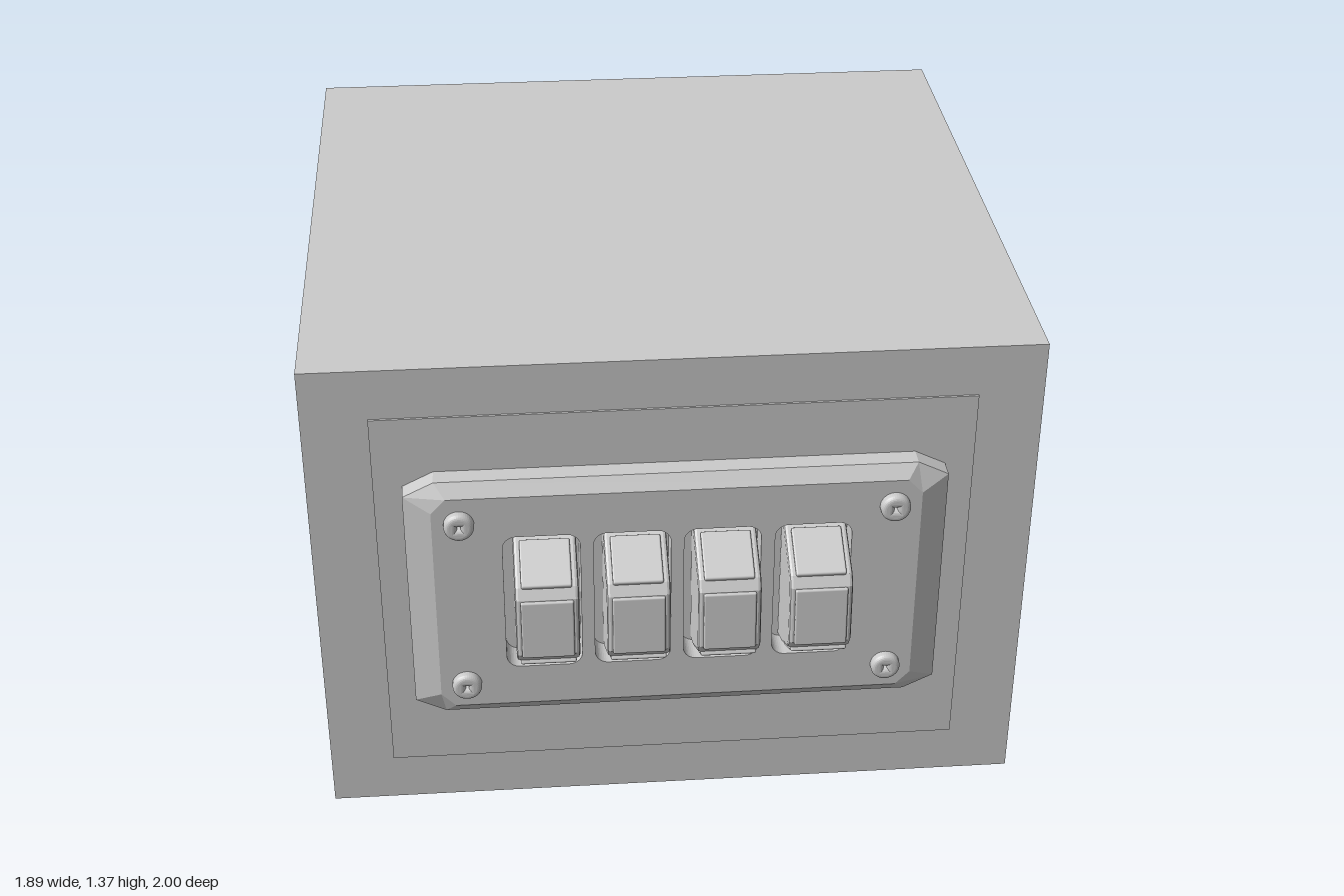
import * as THREE from 'three';
import { RoundedBoxGeometry } from 'three/addons/geometries/RoundedBoxGeometry.js';

const grey = new THREE.MeshStandardMaterial({ color: 0xcccccc });
const SWITCH_X = [-0.344, -0.11, 0.124, 0.36];
const MID_Y = 0.706;

function add(parent, name, geometry, x = 0, y = 0, z = 0) {
  const mesh = new THREE.Mesh(geometry, grey);
  mesh.name = name;
  mesh.position.set(x, y, z);
  parent.add(mesh);
  return mesh;
}

// Closed rounded rectangle, used for the switch openings
function roundedRect(cx, cy, w, h, r) {
  const p = new THREE.Path();
  const x = w / 2 - r, y = h / 2 - r;
  p.absarc(cx + x, cy + y, r, 0, Math.PI / 2);
  p.absarc(cx - x, cy + y, r, Math.PI / 2, Math.PI);
  p.absarc(cx - x, cy - y, r, Math.PI, Math.PI * 1.5);
  p.absarc(cx + x, cy - y, r, Math.PI * 1.5, Math.PI * 2);
  p.closePath();
  return p;
}

// Cut-corner plate with four openings; its front rim is drawn inward into a chamfer
function plateGeometry() {
  const corners = [[0.7, 0.325], [0.62, 0.365], [-0.62, 0.365], [-0.7, 0.325],
    [-0.7, -0.325], [-0.62, -0.365], [0.62, -0.365], [0.7, -0.325]];
  const shape = new THREE.Shape(corners.map(([x, y]) => new THREE.Vector2(x, y)));
  for (const x of SWITCH_X) shape.holes.push(roundedRect(x - 0.008, 0, 0.2, 0.415, 0.035));
  const g = new THREE.ExtrudeGeometry(shape, { depth: 0.086, steps: 2, bevelEnabled: false, curveSegments: 5 });
  const p = g.attributes.position;
  for (let i = 0; i < p.count; i++) {
    const x = p.getX(i), y = p.getY(i), z = p.getZ(i);
    if (z > 0.08 && Math.abs(x) > 0.6) {
      p.setX(i, x * (Math.abs(x) > 0.66 ? 0.9 : 0.955));
      p.setY(i, y - Math.sign(y) * 0.036);
    } else if (z > 0.02 && z < 0.08) p.setZ(i, 0.058);
  }
  g.computeVertexNormals();
  return g;
}

// Rocker side profile as [z, y], swept across the switch width
function rockerGeometry() {
  const profile = [[0.787, 0.505], [0.86, 0.533], [0.972, 0.6], [0.99, 0.628],
    [0.983, 0.795], [0.965, 0.823], [0.86, 0.876], [0.787, 0.91]];
  const shape = new THREE.Shape(profile.map(([z, y]) => new THREE.Vector2(z, y)));
  const g = new THREE.ExtrudeGeometry(shape, {
    depth: 0.146, bevelThickness: 0.009, bevelSize: 0.009, bevelOffset: -0.009, bevelSegments: 2 });
  g.translate(0, 0, -0.073);
  g.rotateY(-Math.PI / 2);
  return g;
}

// Raised pad whose outer face follows the line between two [z, y] points
function addPad(parent, name, a, b, width) {
  const dz = b[0] - a[0], dy = b[1] - a[1];
  const length = Math.hypot(dz, dy), t = 0.03;
  const pad = add(parent, name, new RoundedBoxGeometry(width, length, t, 2, 0.005));
  pad.rotation.x = Math.atan2(dz, dy);
  const nz = dy / length, ny = -dz / length;
  pad.position.set(0, (a[1] + b[1]) / 2 - ny * t / 2, (a[0] + b[0]) / 2 - nz * t / 2);
}

// Domed head with a square socket
function screwGeometry() {
  const shape = new THREE.Shape().absarc(0, 0, 0.026, 0, Math.PI * 2);
  const s = 0.017;
  shape.holes.push(new THREE.Path([[-s, -s], [-s, s], [s, s], [s, -s]].map(([x, y]) => new THREE.Vector2(x, y))));
  return new THREE.ExtrudeGeometry(shape, {
    depth: 0.012, bevelThickness: 0.013, bevelSize: 0.013, bevelSegments: 5, curveSegments: 20 });
}

export function createModel() {
  const model = new THREE.Group();
  model.name = 'switchBox';

  add(model, 'housing', new THREE.BoxGeometry(1.89, 1.37, 1.78), 0, 0.685, -0.11);
  add(model, 'backingPanel', new THREE.BoxGeometry(1.55, 1.09, 0.012), 0, 0.685, 0.78);
  add(model, 'facePlate', plateGeometry(), 0, MID_Y, 0.78);

  // Row of rocker switches
  const rocker = rockerGeometry();
  for (const x of SWITCH_X) {
    const unit = new THREE.Group();
    unit.name = 'rockerSwitch';
    unit.position.x = x;
    add(unit, 'rockerBody', rocker);
    addPad(unit, 'upperPad', [0.972, 0.83], [0.85, 0.895], 0.13);
    addPad(unit, 'frontPad', [1.0, 0.625], [0.992, 0.793], 0.136);
    addPad(unit, 'lowerPad', [0.85, 0.515], [0.978, 0.59], 0.145);
    model.add(unit);
  }

  // Corner screws
  const screw = screwGeometry();
  for (const x of [-0.56, 0.56]) {
    for (const y of [0.45, 0.96]) add(model, 'screw', screw, x, y, 0.866);
  }
  return model;
}
